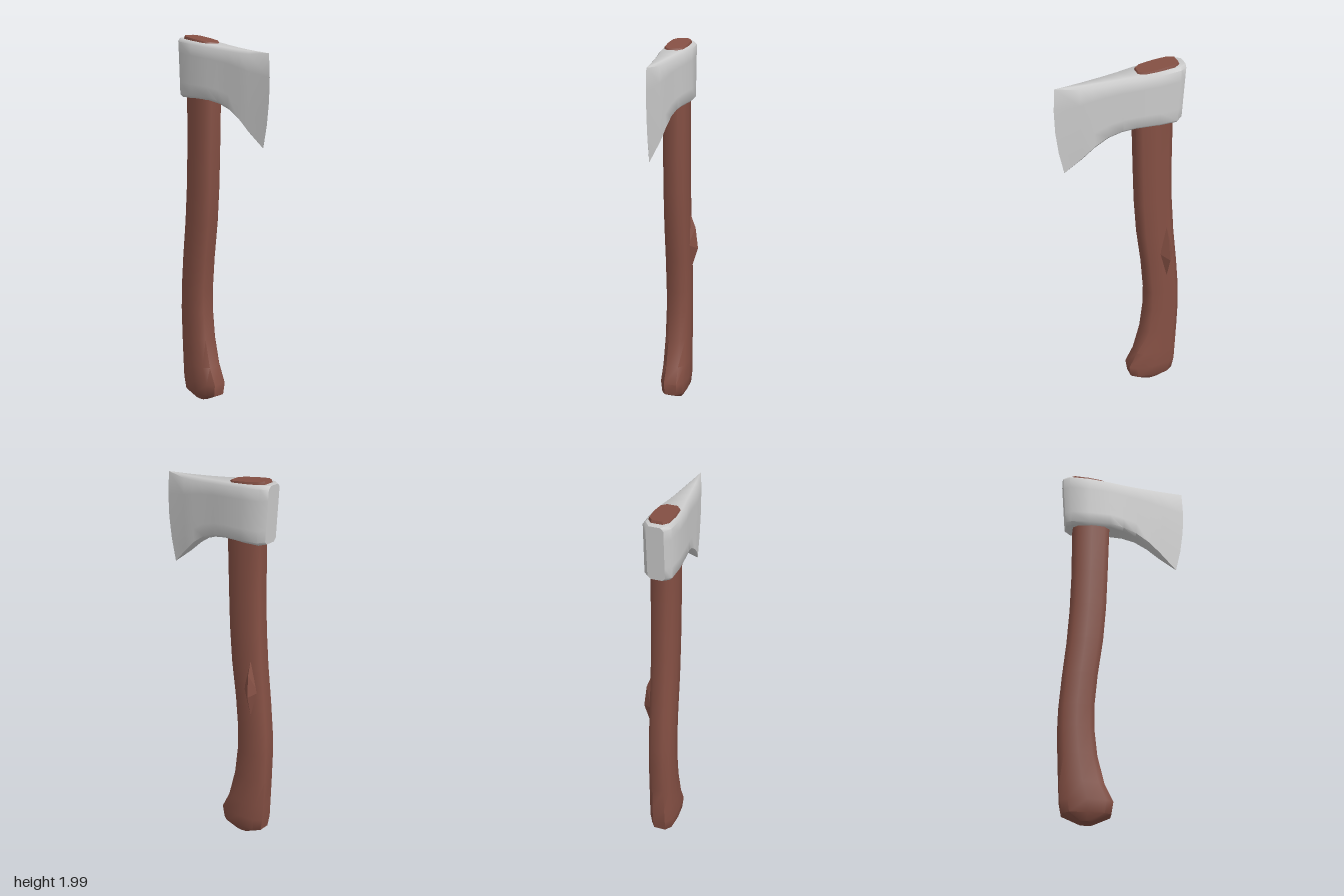
import * as THREE from 'three';
import { toCreasedNormals } from 'three/addons/utils/BufferGeometryUtils.js';

const CX = -0.012; // centre plane of the axe

// Skin a list of equal-length rings, capping both ends.
// Rings run counter-clockwise as seen from the end of the sweep.
function loft(rings, crease) {
  const n = rings[0].length;
  const pos = rings.flat(2);
  const index = [];
  for (let i = 0; i < rings.length - 1; i++) {
    for (let j = 0; j < n; j++) {
      const k = (j + 1) % n;
      const a = i * n + j, b = i * n + k, c = b + n, d = a + n;
      index.push(a, b, c, a, c, d);
    }
  }
  for (const end of [0, rings.length - 1]) {
    const ring = rings[end];
    const centre = pos.length / 3;
    for (let c = 0; c < 3; c++) pos.push(ring.reduce((s, p) => s + p[c], 0) / n);
    for (let j = 0; j < n; j++) {
      const a = end * n + j, b = end * n + (j + 1) % n;
      if (end === 0) index.push(centre, b, a);
      else index.push(centre, a, b);
    }
  }
  const g = new THREE.BufferGeometry();
  g.setAttribute('position', new THREE.Float32BufferAttribute(pos, 3));
  g.setIndex(index);
  return toCreasedNormals(g, crease);
}

function mesh(name, geometry, material) {
  const m = new THREE.Mesh(geometry, material);
  m.name = name;
  return m;
}

// Ten-sided oval section of the handle, as unit [x, z]
const half = [[0.5, 1], [0.9, 0.72], [1, 0], [0.9, -0.72], [0.5, -1]];
const oval = [...half, ...half.map(([x, z]) => [-x, -z])];

// Handle: y, front z, back z, half width, slope of the section along z
function handleGeometry() {
  const stations = [
    [0.005, -0.14, -0.22, 0.04, 0],
    [0.045, -0.058, -0.305, 0.064, 0],
    [0.11, -0.048, -0.317, 0.07, 0],
    [0.2, -0.092, -0.322, 0.067, 0],
    [0.35, -0.13, -0.329, 0.064, 0],
    [0.5, -0.147, -0.334, 0.063, 0],
    [0.62, -0.148, -0.331, 0.063, 0],
    [0.8, -0.132, -0.316, 0.063, 0],
    [1.0, -0.105, -0.295, 0.063, 0],
    [1.2, -0.09, -0.281, 0.063, 0],
    [1.4, -0.083, -0.275, 0.063, 0],
    [1.67, -0.075, -0.275, 0.063, 0],
    [1.965, -0.077, -0.305, 0.062, -0.12],
    [1.985, -0.09, -0.298, 0.055, -0.12],
  ];
  return loft(stations.map(([y, zf, zb, w, slope]) => {
    const mid = (zf + zb) / 2, r = (zf - zb) / 2;
    return oval.map(([x, z]) => [CX + x * w, y + slope * z * r, mid + z * r]);
  }), 0.85);
}

// Head: z at top, z at bottom, half width, top y, bottom y, forward bulge
function headGeometry() {
  const stations = [
    [-0.336, -0.316, 0.045, 1.982, 1.68, 0],
    [-0.3, -0.285, 0.072, 1.983, 1.674, 0],
    [-0.19, -0.19, 0.077, 1.974, 1.674, 0],
    [-0.08, -0.07, 0.069, 1.964, 1.674, 0],
    [0, 0, 0.056, 1.957, 1.661, 0],
    [0.08, 0.07, 0.046, 1.951, 1.635, 0.003],
    [0.15, 0.14, 0.038, 1.947, 1.588, 0.006],
    [0.21, 0.2, 0.029, 1.944, 1.534, 0.01],
    [0.335, 0.296, 0.0005, 1.94, 1.458, 0.022],
  ];
  return loft(stations.map(([zt, zb, w, top, bot, bulge]) => {
    const c = Math.min(0.016, w * 0.5);
    const side = [[w - c, bot], [w, bot + c]];
    for (const t of [0.25, 0.5, 0.75]) side.push([w, bot + (top - bot) * t]);
    side.push([w, top - c], [w - c, top]);
    const ring = [...side, ...side.map(([x, y]) => [-x, y]).reverse()];
    return ring.map(([x, y]) => {
      const t = (y - bot) / (top - bot);
      return [CX + x, y, zb + (zt - zb) * t + bulge * 4 * t * (1 - t)];
    });
  }), 0.85);
}

// Splinter: a raised ridge on the left of the handle with two flanks
function splinterGeometry() {
  const ridge = [[0.044, 1.05, -0.245], [0.073, 0.97, -0.25], [0.086, 0.85, -0.256], [0.04, 0.7, -0.25]];
  const front = [0.045, 0.88, -0.205], back = [0.035, 0.87, -0.29];
  const pos = [];
  for (let i = 0; i < 3; i++) {
    pos.push(...ridge[i], ...front, ...ridge[i + 1]);
    pos.push(...ridge[i], ...ridge[i + 1], ...back);
  }
  const g = new THREE.BufferGeometry();
  g.setAttribute('position', new THREE.Float32BufferAttribute(pos, 3));
  g.computeVertexNormals();
  return g;
}

export function createModel() {
  const wood = new THREE.MeshStandardMaterial({ color: 0x855044 });
  const splinterWood = new THREE.MeshStandardMaterial({ color: 0x855044, side: THREE.DoubleSide });
  const steel = new THREE.MeshStandardMaterial({ color: 0xcccccc });

  const axe = new THREE.Group();
  axe.name = 'axe';
  axe.add(
    mesh('handle', handleGeometry(), wood),
    mesh('splinter', splinterGeometry(), splinterWood),
    mesh('axeHead', headGeometry(), steel),
  );
  return axe;
}
